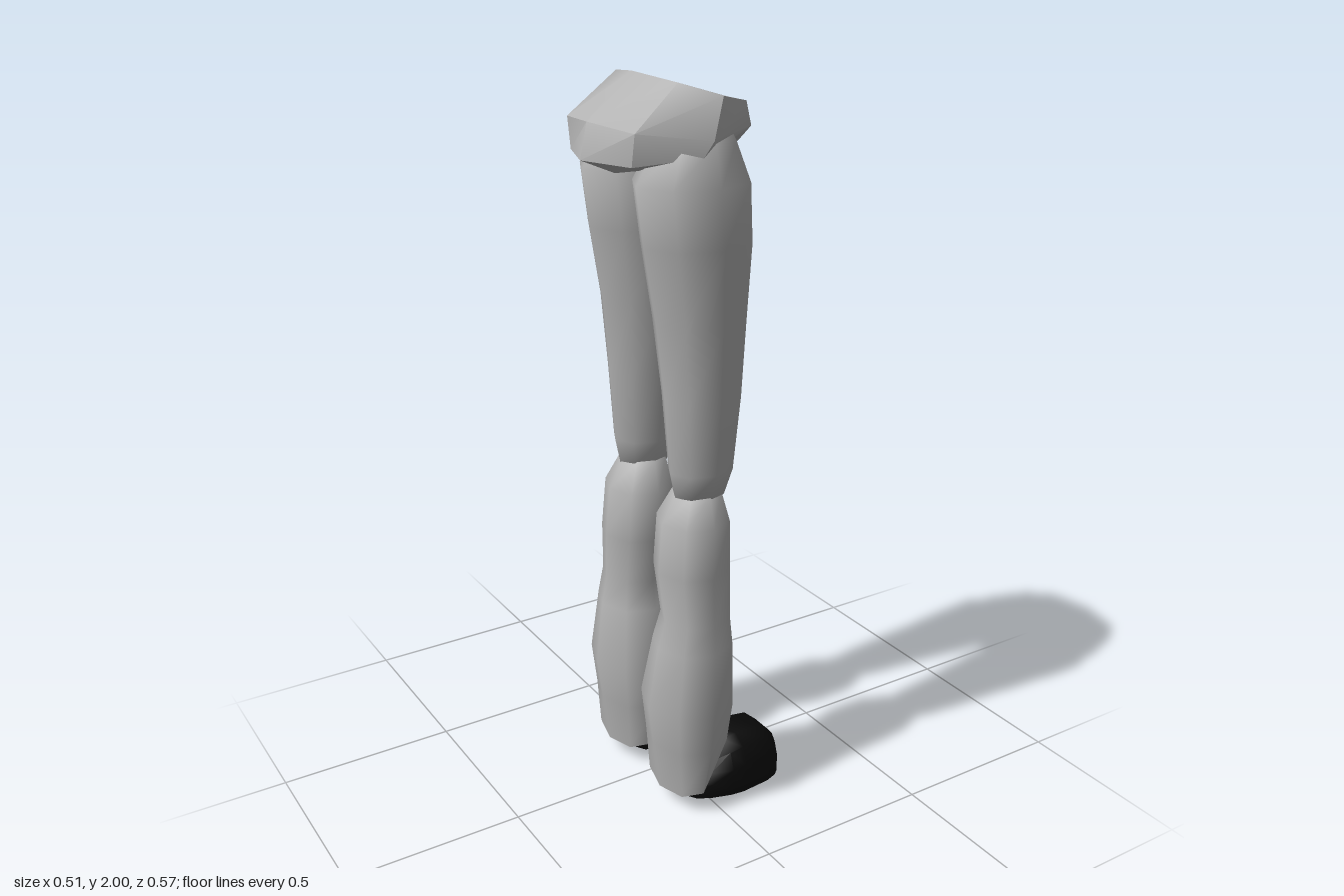
import * as THREE from 'three';
import { toCreasedNormals } from 'three/addons/utils/BufferGeometryUtils.js';

// Skin a surface through closed rings of [x, y, z] points, optionally capping the ends
function loft(rings, capStart, capEnd, crease) {
  const n = rings[0].length;
  const pos = rings.flat(2);
  const index = [];
  for (let i = 0; i < rings.length - 1; i++) {
    for (let j = 0; j < n; j++) {
      const a = i * n + j, b = i * n + (j + 1) % n;
      index.push(a, a + n, b, b, a + n, b + n);
    }
  }
  const cap = (start, flip) => {
    for (let j = 1; j < n - 1; j++) {
      if (flip) index.push(start, start + j, start + j + 1);
      else index.push(start, start + j + 1, start + j);
    }
  };
  if (capStart) cap(0, true);
  if (capEnd) cap((rings.length - 1) * n, false);
  const geo = new THREE.BufferGeometry();
  geo.setAttribute('position', new THREE.Float32BufferAttribute(pos, 3));
  geo.setIndex(index);
  return toCreasedNormals(geo, crease);
}

// Eight-sided horizontal ring from its extents; slope tilts it along x
function ring([y, x0, x1, z0, z1, slope = 0], side) {
  const cx = (x0 + x1) / 2, rx = (x1 - x0) / 2;
  const cz = side * (z0 + z1) / 2, rz = (z1 - z0) / 2;
  return Array.from({ length: 8 }, (_, i) => {
    const t = i * Math.PI / 4, c = Math.cos(t);
    return [cx + rx * c, y + slope * c, cz + rz * Math.sin(t)];
  });
}

// y, back x, front x, inner z, outer z, tilt
const THIGH = [
  [0.905, -0.05, 0.05, 0.10, 0.18],
  [0.93, -0.075, 0.07, 0.08, 0.205],
  [1.0, -0.09, 0.095, 0.065, 0.22],
  [1.2, -0.105, 0.115, 0.045, 0.235],
  [1.4, -0.125, 0.127, 0.02, 0.247],
  [1.6, -0.16, 0.14, 0.005, 0.262],
  [1.75, -0.18, 0.132, 0.0, 0.266],
  [1.85, -0.12, 0.09, 0.04, 0.228],
  [1.92, -0.06, 0.05, 0.08, 0.18],
];
const SHIN = [
  [0.075, -0.125, 0.01, 0.02, 0.265, 0.022],
  [0.2, -0.145, 0.07, 0.012, 0.272],
  [0.32, -0.16, 0.085, 0.002, 0.286],
  [0.5, -0.135, 0.085, 0.04, 0.266],
  [0.58, -0.117, 0.075, 0.062, 0.256],
  [0.72, -0.125, 0.08, 0.032, 0.25],
  [0.86, -0.113, 0.08, 0.035, 0.242],
  [0.94, -0.07, 0.06, 0.075, 0.203],
  [0.96, -0.03, 0.03, 0.11, 0.17],
];
// Shoe sections along x: x, bottom, top, half width
const SHOE = [
  [-0.072, 0.025, 0.065, 0.04],
  [-0.04, 0.015, 0.075, 0.07],
  [0.0, 0.01, 0.1, 0.085],
  [0.06, 0.005, 0.165, 0.098],
  [0.1, 0.004, 0.175, 0.102],
  [0.19, 0.003, 0.165, 0.092],
  [0.225, 0.003, 0.135, 0.078],
  [0.25, 0.003, 0.105, 0.035],
  [0.257, 0.01, 0.05, 0.015],
];
const SHOE_PROFILE = [[0.9, 0], [1, 0.15], [1, 0.55], [0.82, 0.85], [0.45, 1],
  [-0.45, 1], [-0.82, 0.85], [-1, 0.55], [-1, 0.15], [-0.9, 0]];

// Half rings of the pelvis, front to back, bottom to top
const PELVIS = [
  [[0.05, 1.76, 0], [0.03, 1.8, 0.1], [-0.05, 1.8, 0.15], [-0.13, 1.78, 0.1], [-0.16, 1.76, 0]],
  [[0.1, 1.775, 0], [0.085, 1.81, 0.13], [-0.05, 1.82, 0.228], [-0.2, 1.8, 0.15], [-0.255, 1.8, 0]],
  [[0.14, 1.86, 0], [0.137, 1.87, 0.15], [-0.03, 1.86, 0.242], [-0.2, 1.88, 0.165], [-0.235, 1.89, 0]],
  [[0.165, 1.92, 0], [0.125, 1.93, 0.145], [0.02, 1.955, 0.203], [-0.07, 1.985, 0.145], [-0.11, 2, 0]],
];

export function createModel() {
  const group = new THREE.Group();
  const grey = new THREE.MeshStandardMaterial({ color: 0xb2b2b2, side: THREE.DoubleSide });
  grey.name = 'light grey';
  const black = new THREE.MeshStandardMaterial({ color: 0x0a0a0a });
  black.name = 'black';
  const add = (name, geo, mat) => {
    const mesh = new THREE.Mesh(geo, mat);
    mesh.name = name;
    group.add(mesh);
  };

  // Hips, mirrored across z
  const hips = PELVIS.map(half => [...half,
    ...half.slice(1, 4).reverse().map(([x, y, z]) => [x, y, -z])]);
  add('pelvis', loft(hips, true, true, 0.7), grey);

  // Both legs: the model's toes point along +x
  for (const side of [1, -1]) {
    const label = side > 0 ? 'near' : 'far';
    add(label + 'Thigh', loft(THIGH.map(r => ring(r, side)), true, true, 1.2), grey);
    add(label + 'Shin', loft(SHIN.map(r => ring(r, side)), false, true, 1.2), grey);
    const shoe = SHOE.map(([x, y0, y1, w]) =>
      SHOE_PROFILE.map(([u, v]) => [x, y0 + (y1 - y0) * v, side * 0.143 + w * u]));
    add(label + 'Shoe', loft(shoe, true, true, 0.9), black);
  }
  return group;
}
